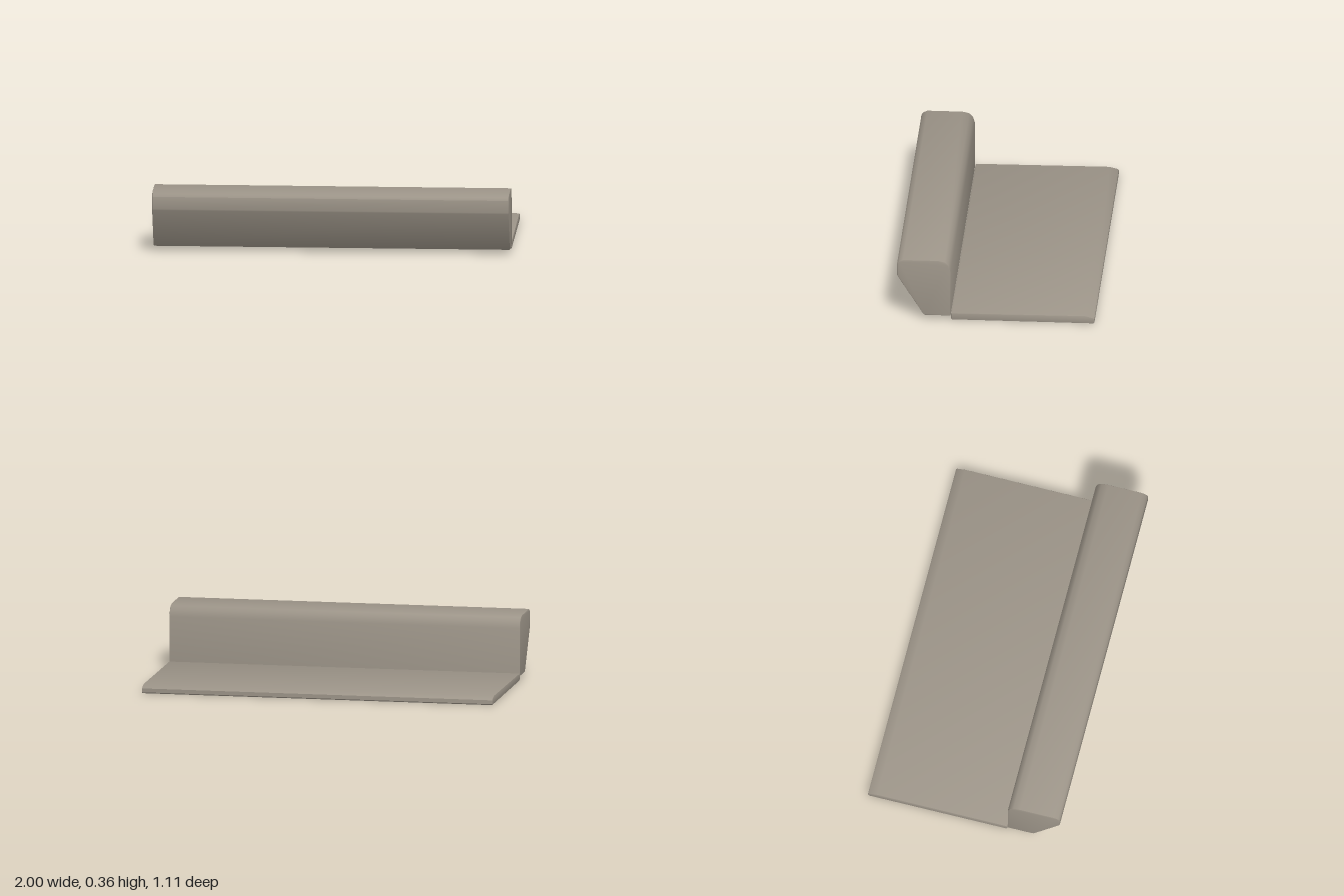
import * as THREE from 'three';
import { toCreasedNormals } from 'three/addons/utils/BufferGeometryUtils.js';

const material = new THREE.MeshStandardMaterial({ color: 0x9c9488 });
const WIDTH = 2;
const BEVEL = 0.005;

// Extrudes a (z, y) side profile across the full width, with softened end edges.
function profilePart(name, points) {
  const shape = new THREE.Shape(points.map(([z, y]) => new THREE.Vector2(z, y)));
  const geometry = new THREE.ExtrudeGeometry(shape, {
    depth: WIDTH - 2 * BEVEL,
    bevelSize: BEVEL,
    bevelThickness: BEVEL,
    bevelOffset: -BEVEL,
    bevelSegments: 2,
  });
  geometry.translate(0, 0, -WIDTH / 2 + BEVEL);
  geometry.rotateY(-Math.PI / 2);
  const mesh = new THREE.Mesh(toCreasedNormals(geometry, 0.7), material);
  mesh.name = name;
  return mesh;
}

export function createModel() {
  const model = new THREE.Group();
  model.name = 'ledgeWithBasePlate';

  // Raised bar: sloping front underside, rounded top edges
  model.add(profilePart('raisedBar', [
    [0.255, 0.023], [0.397, 0.023], [0.407, 0.028],
    [0.553, 0.258], [0.555, 0.266],
    [0.555, 0.335], [0.544, 0.35], [0.522, 0.36],
    [0.325, 0.36], [0.288, 0.352], [0.267, 0.332], [0.255, 0.295],
  ]));

  // Thin base plate: rises slightly to the back, then chamfers down
  model.add(profilePart('basePlate', [
    [0.252, 0.006], [0.252, 0.036], [0.244, 0.041],
    [-0.5, 0.046], [-0.545, 0.034], [-0.552, 0.028],
    [-0.552, 0.006], [-0.546, 0], [0.246, 0],
  ]));

  return model;
}
